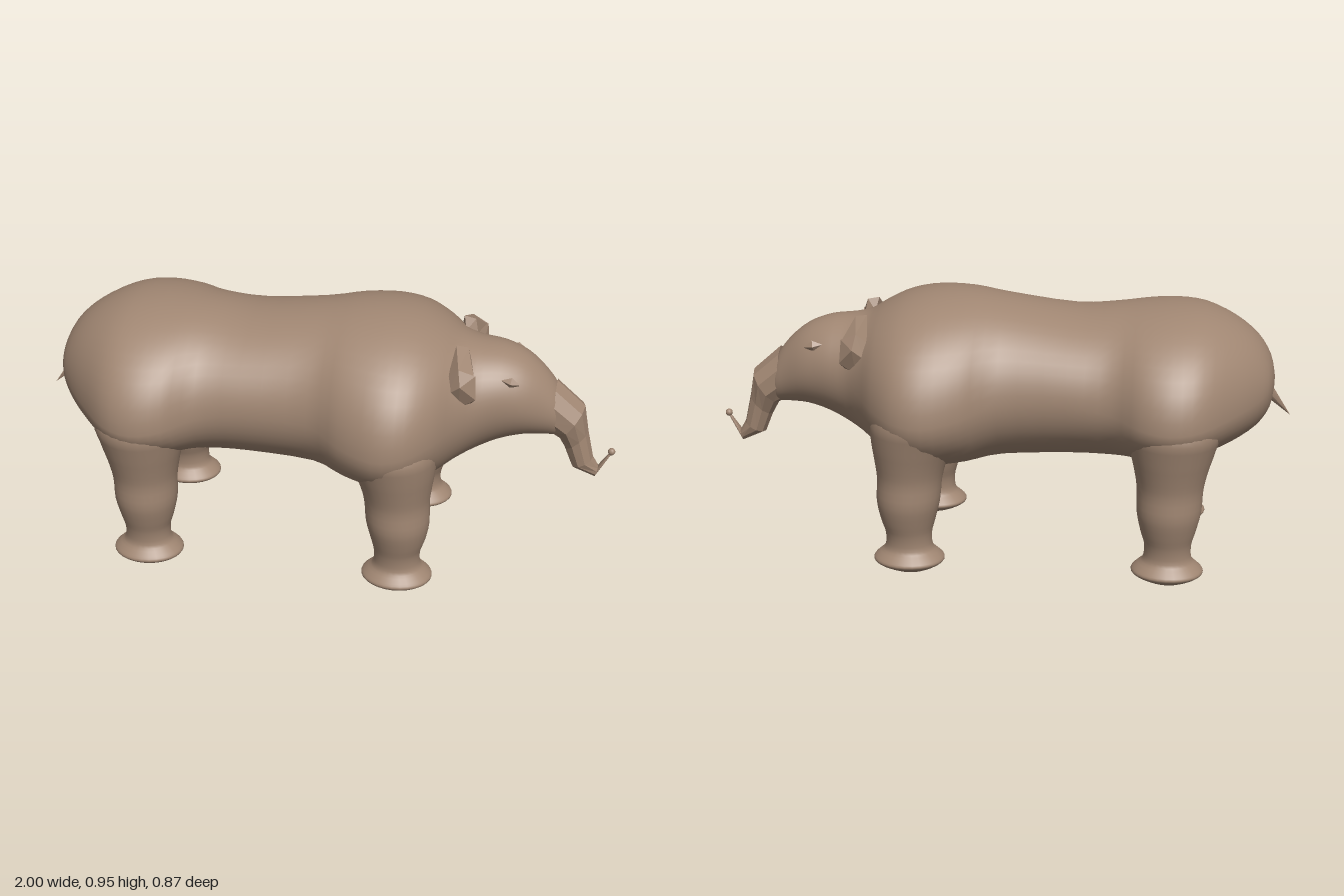
import * as THREE from 'three';
import { ConvexGeometry } from 'three/addons/geometries/ConvexGeometry.js';

const hide = new THREE.MeshStandardMaterial({ color: 0xa08672 });
hide.name = 'brown hide';

// Catmull-Rom interpolation of every column in a table of stations
function refine(rows, steps) {
  const out = [];
  const at = (i) => rows[Math.min(Math.max(i, 0), rows.length - 1)];
  for (let i = 0; i < rows.length - 1; i++) {
    for (let s = 0; s < steps; s++) {
      const t = s / steps;
      out.push(rows[i].map((b, k) => {
        const a = at(i - 1)[k], c = at(i + 1)[k], d = at(i + 2)[k];
        return b + 0.5 * t * (c - a + t * (2 * a - 5 * b + 4 * c - d + t * (3 * (b - c) + d - a)));
      }));
    }
  }
  out.push(rows[rows.length - 1]);
  return out;
}

// Skin a list of cross-section functions angle -> [x, y, z], closing both ends
function loft(sections, sides, flat = false) {
  const pos = [], index = [], last = sections.length - 1;
  for (const f of sections) {
    for (let j = 0; j < sides; j++) pos.push(...f((j / sides) * Math.PI * 2));
  }
  for (let i = 0; i < last; i++) {
    for (let j = 0; j < sides; j++) {
      const a = i * sides + j, b = i * sides + (j + 1) % sides;
      index.push(a, b, a + sides, b, b + sides, a + sides);
    }
  }
  for (let j = 1; j < sides - 1; j++) {
    const e = last * sides;
    index.push(0, j + 1, j, e, e + j, e + j + 1);
  }
  let g = new THREE.BufferGeometry();
  g.setAttribute('position', new THREE.Float32BufferAttribute(pos, 3));
  g.setIndex(index);
  if (flat) g = g.toNonIndexed();
  g.computeVertexNormals();
  return g;
}

export function createModel() {
  const model = new THREE.Group();
  model.name = 'elephant';
  const add = (name, geometry) => {
    const mesh = new THREE.Mesh(geometry, hide);
    mesh.name = name;
    model.add(mesh);
    return mesh;
  };

  // Body and head: x, bottom, widest height, top, half width
  const body = refine([
    [-0.94, 0.64, 0.66, 0.68, 0.02],
    [-0.925, 0.57, 0.66, 0.745, 0.12],
    [-0.88, 0.51, 0.64, 0.815, 0.2],
    [-0.8, 0.465, 0.62, 0.875, 0.3],
    [-0.7, 0.435, 0.6, 0.915, 0.4],
    [-0.6, 0.42, 0.59, 0.925, 0.43],
    [-0.5, 0.405, 0.6, 0.92, 0.405],
    [-0.4, 0.395, 0.62, 0.91, 0.335],
    [-0.25, 0.39, 0.64, 0.9, 0.32],
    [-0.02, 0.375, 0.63, 0.93, 0.322],
    [0.1, 0.355, 0.6, 0.947, 0.39],
    [0.22, 0.345, 0.58, 0.948, 0.432],
    [0.32, 0.36, 0.59, 0.93, 0.415],
    [0.4, 0.395, 0.61, 0.895, 0.345],
    [0.46, 0.425, 0.63, 0.86, 0.26],
    [0.52, 0.455, 0.65, 0.847, 0.2],
    [0.6, 0.495, 0.67, 0.838, 0.17],
    [0.68, 0.518, 0.66, 0.808, 0.14],
    [0.75, 0.52, 0.63, 0.75, 0.1],
    [0.8, 0.52, 0.6, 0.68, 0.07],
    [0.82, 0.54, 0.58, 0.62, 0.03],
  ], 3);
  add('body', loft(body.map(([x, lo, mid, hi, w]) => (a) => {
    const c = Math.cos(a);
    return [x, mid + c * (c > 0 ? hi - mid : mid - lo), w * Math.sin(a)];
  }), 48));

  // Legs with flared, rounded feet: height, x shift, z, half depth, half width
  const leg = refine([
    [0, -0.01, 0.275, 0.008, 0.008],
    [0.02, -0.005, 0.275, 0.065, 0.055],
    [0.042, 0, 0.273, 0.112, 0.094],
    [0.057, 0, 0.272, 0.123, 0.106],
    [0.075, 0, 0.272, 0.107, 0.092],
    [0.1, 0, 0.272, 0.083, 0.073],
    [0.15, 0, 0.272, 0.08, 0.076],
    [0.2, 0.002, 0.27, 0.094, 0.093],
    [0.27, 0, 0.27, 0.109, 0.11],
    [0.35, -0.005, 0.265, 0.112, 0.114],
    [0.42, -0.01, 0.265, 0.125, 0.128],
    [0.5, -0.02, 0.265, 0.145, 0.148],
    [0.58, -0.035, 0.265, 0.155, 0.157],
    [0.7, -0.05, 0.25, 0.1, 0.1],
  ], 3);
  for (const [end, x0, lean] of [['front', 0.29, 1], ['back', -0.6, 0.3]]) {
    for (const [side, s] of [['Left', -1], ['Right', 1]]) {
      add(end + side + 'Leg', loft(leg.map(([y, dx, z, hx, hz]) => (a) =>
        [x0 + dx * lean + hx * Math.sin(a), y, s * z + hz * Math.cos(a)]), 28));
    }
  }

  // Faceted trunk: upper x, y, lower x, y, half width
  const trunk = [
    [0.785, 0.718, 0.77, 0.525, 0.08],
    [0.885, 0.63, 0.8, 0.51, 0.077],
    [0.902, 0.535, 0.825, 0.465, 0.052],
    [0.925, 0.435, 0.853, 0.397, 0.045],
    [0.945, 0.4, 0.935, 0.36, 0.022],
    [0.982, 0.458, 0.988, 0.453, 0.005],
  ];
  add('trunk', loft(trunk.map(([ux, uy, lx, ly, w]) => (a) => {
    const t = (1 + Math.cos(a)) / 2;
    return [lx + (ux - lx) * t, ly + (uy - ly) * t, w * Math.sin(a)];
  }), 10, true));
  add('trunkTip', new THREE.SphereGeometry(0.013, 10, 8)).position.set(0.986, 0.46, 0);

  // Angular ears (upper fold and hanging lobe) and small eyes
  const fold = [
    [0.45, 0.875, 0.115], [0.49, 0.868, 0.11], [0.46, 0.83, 0.09], [0.5, 0.82, 0.1],
    [0.435, 0.8, 0.2], [0.47, 0.835, 0.215], [0.52, 0.81, 0.2], [0.48, 0.765, 0.185],
  ];
  const lobe = [
    [0.435, 0.8, 0.2], [0.47, 0.835, 0.215], [0.525, 0.81, 0.2], [0.44, 0.75, 0.225],
    [0.48, 0.785, 0.243], [0.53, 0.73, 0.215], [0.475, 0.69, 0.205], [0.505, 0.69, 0.18],
    [0.45, 0.72, 0.185],
  ];
  for (const [side, s] of [['left', -1], ['right', 1]]) {
    const hull = (pts) => new ConvexGeometry(pts.map(([x, y, z]) => new THREE.Vector3(x, y, s * z)));
    add(side + 'EarFold', hull(fold));
    add(side + 'EarLobe', hull(lobe));
    const eye = add(side + 'Eye', new THREE.OctahedronGeometry(1));
    eye.scale.set(0.034, 0.02, 0.014);
    eye.position.set(0.637, 0.762, s * 0.134);
    eye.rotation.z = -0.2;
  }

  // Short pointed tail
  const tail = add('tail', new THREE.ConeGeometry(0.028, 0.15, 6));
  tail.position.set(-0.95, 0.59, 0);
  tail.rotation.z = Math.PI - Math.atan2(0.1, 0.11);
  return model;
}
